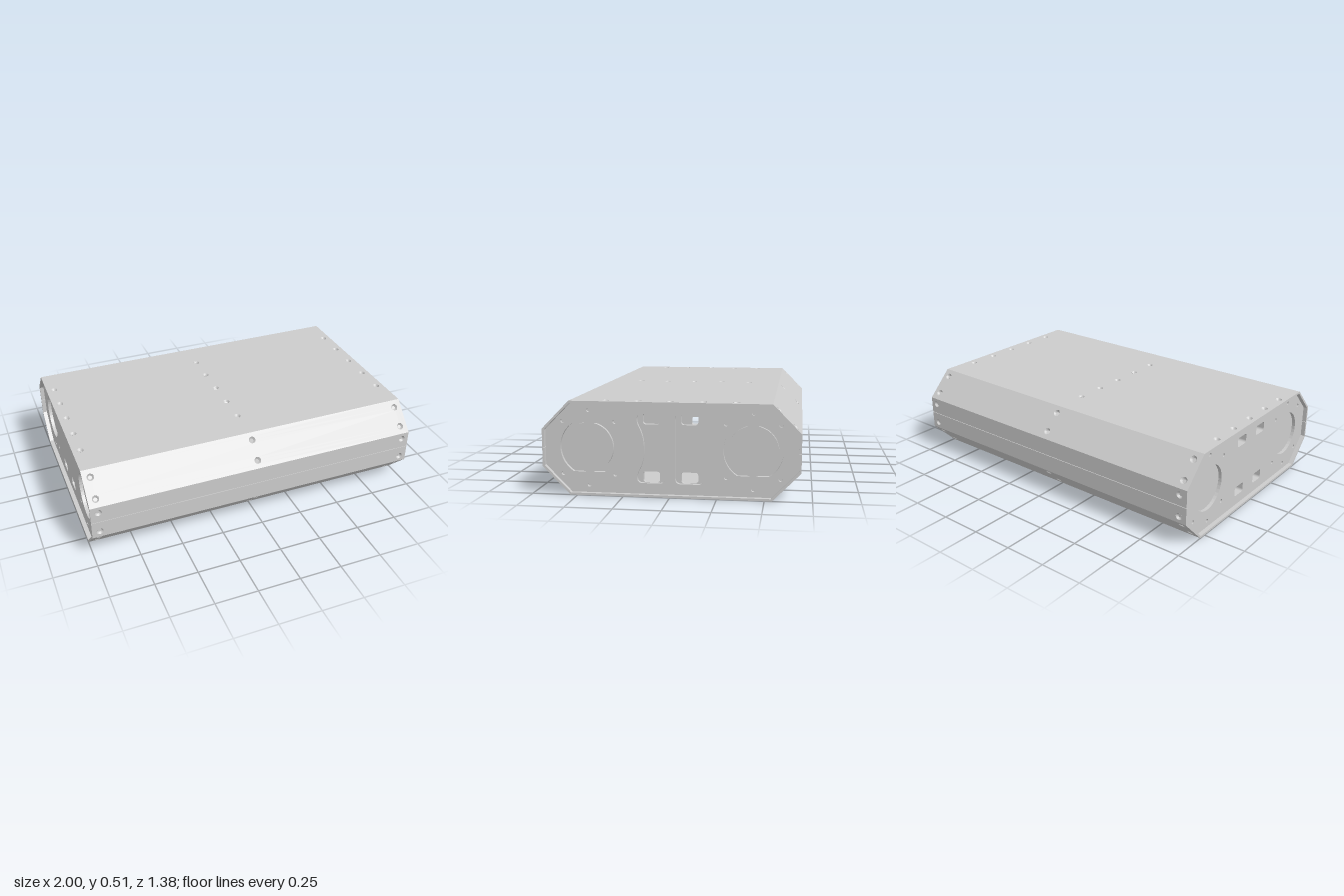
import * as THREE from 'three';

const T = 0.012;                       // sheet thickness
const W = 0.69, WC = 0.54;             // half depth, half depth of the flat top
const H = 0.51, MID = H / 2, YC = 0.357; // height, seam, upper bend
const SCREW_X = 0.955, R_OUT = 0.02, R_IN = 0.011;

const material = new THREE.MeshStandardMaterial({ color: 0xcccccc });
const thinMaterial = new THREE.MeshStandardMaterial({ color: 0xcccccc, side: THREE.DoubleSide });

function add(parent, name, geometry, mat = material) {
  const mesh = new THREE.Mesh(geometry, mat);
  mesh.name = name;
  parent.add(mesh);
  return mesh;
}

function extrude(shape, depth, z = 0) {
  const g = new THREE.ExtrudeGeometry(shape, { depth, bevelEnabled: false, curveSegments: 20 });
  return g.translate(0, 0, z);
}

function circle(x, y, r) {
  return new THREE.Path().absarc(x, y, r, 0, Math.PI * 2, false);
}

function roundedRect(x0, y0, x1, y1, r) {
  const p = new THREE.Path();
  p.absarc(x1 - r, y1 - r, r, 0, Math.PI / 2, false);
  p.absarc(x0 + r, y1 - r, r, Math.PI / 2, Math.PI, false);
  p.absarc(x0 + r, y0 + r, r, Math.PI, Math.PI * 1.5, false);
  p.absarc(x1 - r, y0 + r, r, Math.PI * 1.5, Math.PI * 2, false);
  p.closePath();
  return p;
}

// One flat facet of the folded shell between profile points a and b ([z, y]),
// with countersunk screw holes at distances vs along it
function shellPanel(parent, name, a, b, vs, xs) {
  const t = new THREE.Vector3(0, b[1] - a[1], b[0] - a[0]);
  const len = t.length();
  t.normalize();
  const n = new THREE.Vector3(0, -t.z, t.y);
  const panel = new THREE.Group();
  panel.name = name;
  const shape = new THREE.Shape([[-1, 0], [1, 0], [1, len], [-1, len]].map(p => new THREE.Vector2(...p)));
  for (const x of xs) for (const v of vs) {
    shape.holes.push(circle(x, v, R_OUT));
    const cone = new THREE.CylinderGeometry(R_OUT, R_IN, T, 20, 1, true);
    cone.rotateX(Math.PI / 2).translate(x, v, -T / 2);
    add(panel, 'countersink', cone, thinMaterial);
  }
  add(panel, 'sheet', extrude(shape, T, -T));
  panel.applyMatrix4(new THREE.Matrix4()
    .makeBasis(new THREE.Vector3(1, 0, 0), t, n)
    .setPosition(0, a[1], a[0]));
  parent.add(panel);
}

// Upper half of the shell: two short sides, two slopes and the flat top
function shellHalf(name) {
  const half = new THREE.Group();
  half.name = name;
  const ends = [-SCREW_X, SCREW_X], all = [-SCREW_X, 0, SCREW_X];
  const seam = MID + 0.0015;
  const slope = Math.hypot(W - WC, H - YC);
  const slopeHoles = [0.22 * slope, 0.79 * slope];
  const topHoles = [-0.35, -0.175, 0, 0.175, 0.35].map(z => WC + z);
  shellPanel(half, 'frontSide', [W, seam], [W, YC], [0.063], ends);
  shellPanel(half, 'frontSlope', [W, YC], [WC, H], slopeHoles, all);
  shellPanel(half, 'flatPanel', [WC, H], [-WC, H], topHoles, all);
  shellPanel(half, 'backSlope', [-WC, H], [-W, YC], slopeHoles.map(v => slope - v), all);
  shellPanel(half, 'backSide', [-W, YC], [-W, seam], [YC - seam - 0.063], ends);
  return half;
}

// Octagonal outline of the end plates, fitting inside the shell
function plateShape() {
  const k = T * Math.tan(Math.PI / 8);
  const w = W - T, wc = WC - k, y1 = H - T, yc = YC - k;
  return new THREE.Shape([
    [w, H - yc], [w, yc], [wc, y1], [-wc, y1], [-w, yc], [-w, H - yc], [-wc, T], [wc, T],
  ].map(p => new THREE.Vector2(...p)));
}

// Small blind holes around each round port
function portScrews(shape, s) {
  const cx = 0.44 * s;
  for (const e of [-1, 1]) {
    shape.holes.push(circle(cx, MID + 0.203 * e, 0.011));
    for (const f of [-1, 1]) shape.holes.push(circle(cx + 0.143 * f, MID + 0.143 * e, 0.011));
  }
}

function windows(shape, s) {
  const [x0, x1] = s > 0 ? [0.057, 0.148] : [-0.148, -0.057];
  shape.holes.push(roundedRect(x0, 0.385, x1, 0.443, 0.015));
  shape.holes.push(roundedRect(x0, 0.071, x1, 0.13, 0.015));
}

// Waisted pocket: straight inner edge, bowed outer edge
function waistedPocket(s) {
  const top = 0.444, bot = 0.07, r = 0.03, a = 0.027, b = 0.178, c = 0.14;
  const p = new THREE.Path();
  p.moveTo(s * (a + r), bot);
  p.lineTo(s * (b - r), bot);
  p.quadraticCurveTo(s * b, bot, s * b, bot + r);
  p.bezierCurveTo(s * b, bot + 0.07, s * c, MID - 0.1, s * c, MID);
  p.bezierCurveTo(s * c, MID + 0.1, s * b, top - 0.07, s * b, top - r);
  p.quadraticCurveTo(s * b, top, s * (b - r), top);
  p.lineTo(s * (a + r), top);
  p.quadraticCurveTo(s * a, top, s * a, top - r);
  p.lineTo(s * a, bot + r);
  p.quadraticCurveTo(s * a, bot, s * (a + r), bot);
  return p;
}

// Round pocket cut flat at top and bottom
function flattenedPocket(s) {
  const r = 0.157, q = Math.asin(0.133 / r);
  const p = new THREE.Path();
  p.absarc(0.44 * s, MID + 0.002, r, -q, q, false);
  p.absarc(0.44 * s, MID + 0.002, r, Math.PI - q, Math.PI + q, false);
  p.closePath();
  return p;
}

// End plate: a backing with windows, and a pocketed outer layer
function endPlate(name, isLeft) {
  const plate = new THREE.Group();
  plate.name = name;
  const backing = plateShape(), face = plateShape();
  for (const s of [-1, 1]) {
    windows(backing, s);
    portScrews(face, s);
    if (isLeft) {
      face.holes.push(waistedPocket(s), flattenedPocket(s));
      const disc = new THREE.CylinderGeometry(0.134, 0.134, 0.02, 48);
      disc.rotateX(Math.PI / 2).translate(0.44 * s, MID + 0.003, 0.965);
      add(plate, 'portDisc', disc);
    } else {
      windows(face, s);
      face.holes.push(circle(0.44 * s, MID + 0.002, 0.134));
    }
  }
  add(plate, 'plateBacking', extrude(backing, 0.025, 0.93));
  add(plate, 'plateFace', extrude(face, 0.02, 0.955));
  plate.rotation.y = isLeft ? Math.PI / 2 : -Math.PI / 2;
  return plate;
}

export function createModel() {
  const model = new THREE.Group();
  model.name = 'enclosure';
  const lower = shellHalf('lowerShell');
  lower.rotation.x = Math.PI;
  lower.position.y = H;
  model.add(shellHalf('upperShell'), lower);
  model.add(endPlate('leftEndPlate', true), endPlate('rightEndPlate', false));
  return model;
}
